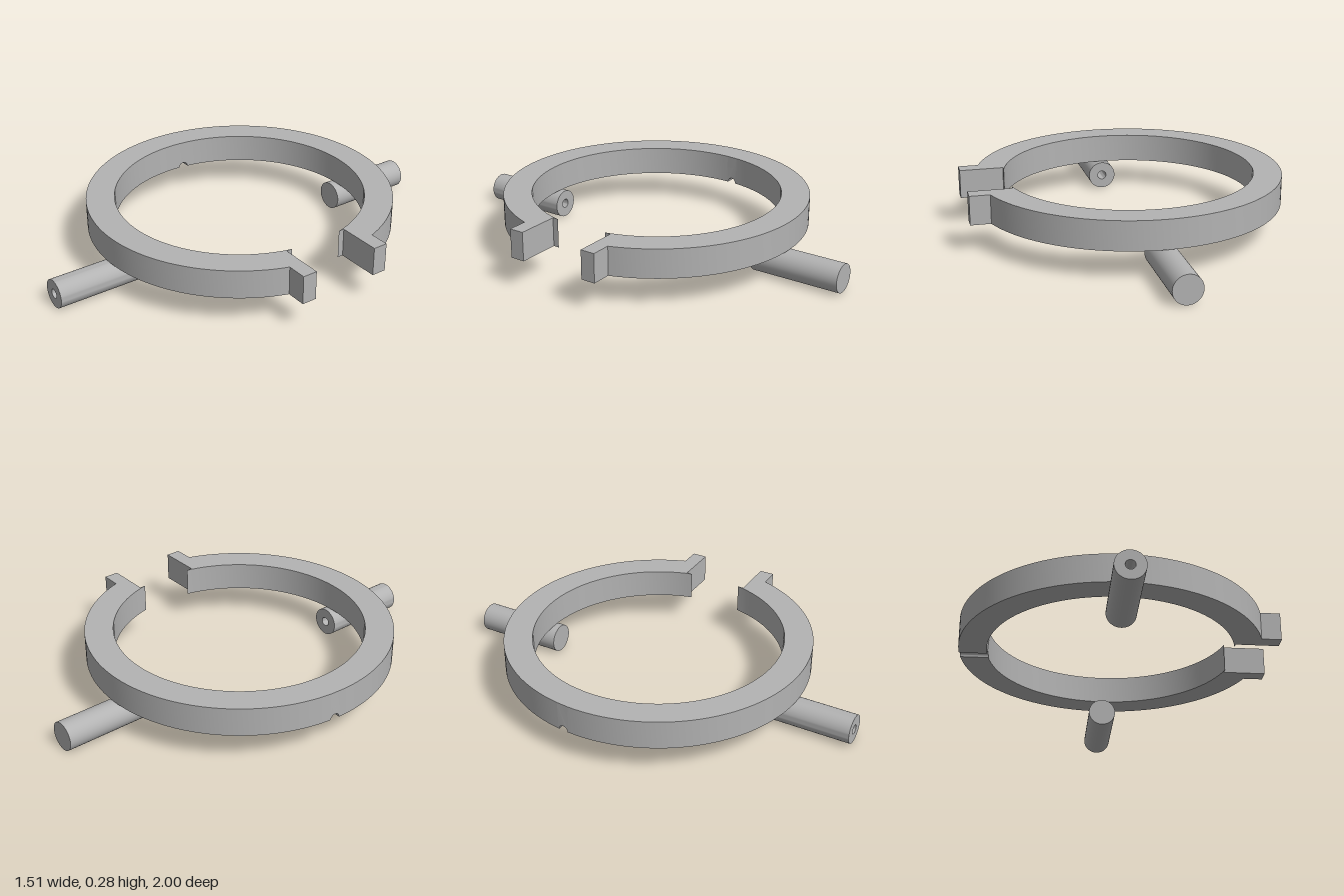
import * as THREE from 'three';
import { toCreasedNormals } from 'three/addons/utils/BufferGeometryUtils.js';

const R = 0.727, r = 0.593;          // ring radii
const Y0 = 0.138, H = 0.137;         // ring underside and height
const CX = -0.029, CZ = -0.003;      // ring centre
const NOTCH = 0.062, EDGE0 = 0.034, EDGE1 = 0.09, NOTCH_R = 0.023;

// One half of the split ring with its clamp lug; side = 1 is the rear, -1 the front
function halfRing(side, edge) {
  const pts = [[0.578, 0.161], [0.784, 0.161], [0.784, 0.231]];
  const arc = (rad, a, b, n = 64) => {
    for (let i = 0; i <= n; i++) {
      const t = a + (b - a) * i / n;
      pts.push([rad * Math.cos(t), rad * Math.sin(t)]);
    }
  };
  arc(R, Math.asin(0.231 / R), Math.PI - Math.asin(edge / R));
  arc(r, Math.PI - Math.asin(edge / r), Math.acos(0.578 / r));
  const shape = new THREE.Shape(pts.map(([x, y]) => new THREE.Vector2(x, y * side)));
  const geo = new THREE.ExtrudeGeometry(shape, { depth: H, bevelEnabled: false });
  geo.rotateX(-Math.PI / 2);
  return toCreasedNormals(geo, 0.4);
}

// Short ring section with a half-round groove underneath, bent to the ring's radii
function groovedSection() {
  const shape = new THREE.Shape();
  shape.moveTo(EDGE0, 0);
  shape.lineTo(NOTCH - NOTCH_R, 0);
  shape.absarc(NOTCH, 0, NOTCH_R, Math.PI, 0, true);
  shape.lineTo(EDGE1, 0);
  shape.lineTo(EDGE1, H);
  shape.lineTo(EDGE0, H);
  shape.closePath();
  const geo = new THREE.ExtrudeGeometry(shape, { depth: 1, bevelEnabled: false, curveSegments: 16 });
  geo.rotateY(Math.PI / 2);
  const p = geo.attributes.position;
  for (let i = 0; i < p.count; i++) {
    const rad = p.getX(i) < 0.5 ? R : r;
    p.setX(i, -Math.sqrt(rad * rad - p.getZ(i) ** 2));
  }
  return toCreasedNormals(geo, 0.5);
}

export function createModel() {
  const group = new THREE.Group();
  const grey = new THREE.MeshStandardMaterial({ color: 0xb3b3b3 });
  grey.name = 'plain grey';

  const add = (name, geo, x, y, z) => {
    const mesh = new THREE.Mesh(geo, grey);
    mesh.name = name;
    mesh.position.set(x, y, z);
    group.add(mesh);
  };

  // Split clamp ring
  add('rearHalfRing', halfRing(1, EDGE1), CX, Y0, CZ);
  add('frontHalfRing', halfRing(-1, -EDGE0), CX, Y0, CZ);
  add('groovedRingSection', groovedSection(), CX, Y0, CZ);

  // Pins under the ring: the front one is bored through, the rear one is solid
  const pr = 0.068, len = 0.433, bore = 0.022, h = len / 2;
  const profile = [[bore, -h], [pr, -h], [pr, h], [bore, h], [bore, -h]];
  const tube = toCreasedNormals(
    new THREE.LatheGeometry(profile.map(([x, y]) => new THREE.Vector2(x, y)), 48), 0.5);
  tube.rotateX(Math.PI / 2);
  const rod = new THREE.CylinderGeometry(pr, pr, len, 48);
  rod.rotateX(Math.PI / 2);
  add('frontHollowPin', tube, CX, pr, 1 - h);
  add('rearSolidPin', rod, CX, pr, -1 + h);

  return group;
}
